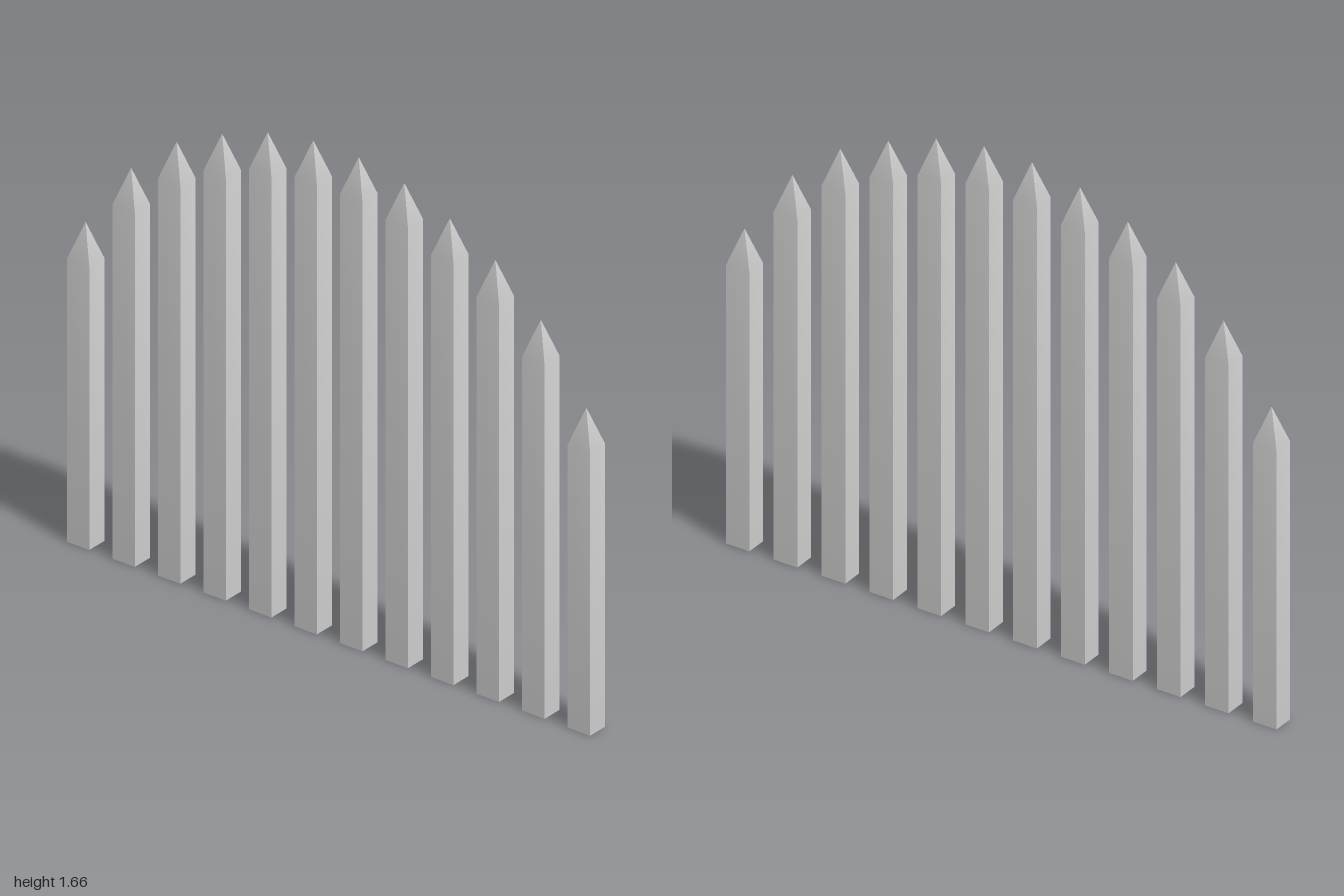
import * as THREE from 'three';
import { toCreasedNormals } from 'three/addons/utils/BufferGeometryUtils.js';

const WIDTH = 0.086, DEPTH = 0.074, TIP = 0.125, STEP = 0.174;

// Peak heights from the middle pair out to the end pair
const PEAKS = [1.66, 1.63, 1.567, 1.482, 1.335, 1.092];

// Square hollow stake, open at the foot, with a pyramid point;
// corners stay sharp while each side shades smoothly into its point
function stakeGeometry(height) {
  const r = Math.SQRT1_2;
  const profile = [
    new THREE.Vector2(r, 0),
    new THREE.Vector2(r, height - TIP),
    new THREE.Vector2(0, height),
  ];
  const geometry = new THREE.LatheGeometry(profile, 4, Math.PI / 4).scale(WIDTH, 1, DEPTH);
  return toCreasedNormals(geometry, Math.PI / 6);
}

export function createModel() {
  const fence = new THREE.Group();
  fence.name = 'picketFence';

  const grey = new THREE.MeshStandardMaterial({ color: 0xcccccc, side: THREE.DoubleSide });
  grey.name = 'grey';

  // Mirrored pairs of stakes, stepping down from the middle
  PEAKS.forEach((height, i) => {
    const geometry = stakeGeometry(height);
    for (const side of [-1, 1]) {
      const stake = new THREE.Mesh(geometry, grey);
      stake.name = (side > 0 ? 'leftStake' : 'rightStake') + (i + 1);
      stake.position.x = side * STEP * (i + 0.5);
      fence.add(stake);
    }
  });
  return fence;
}
